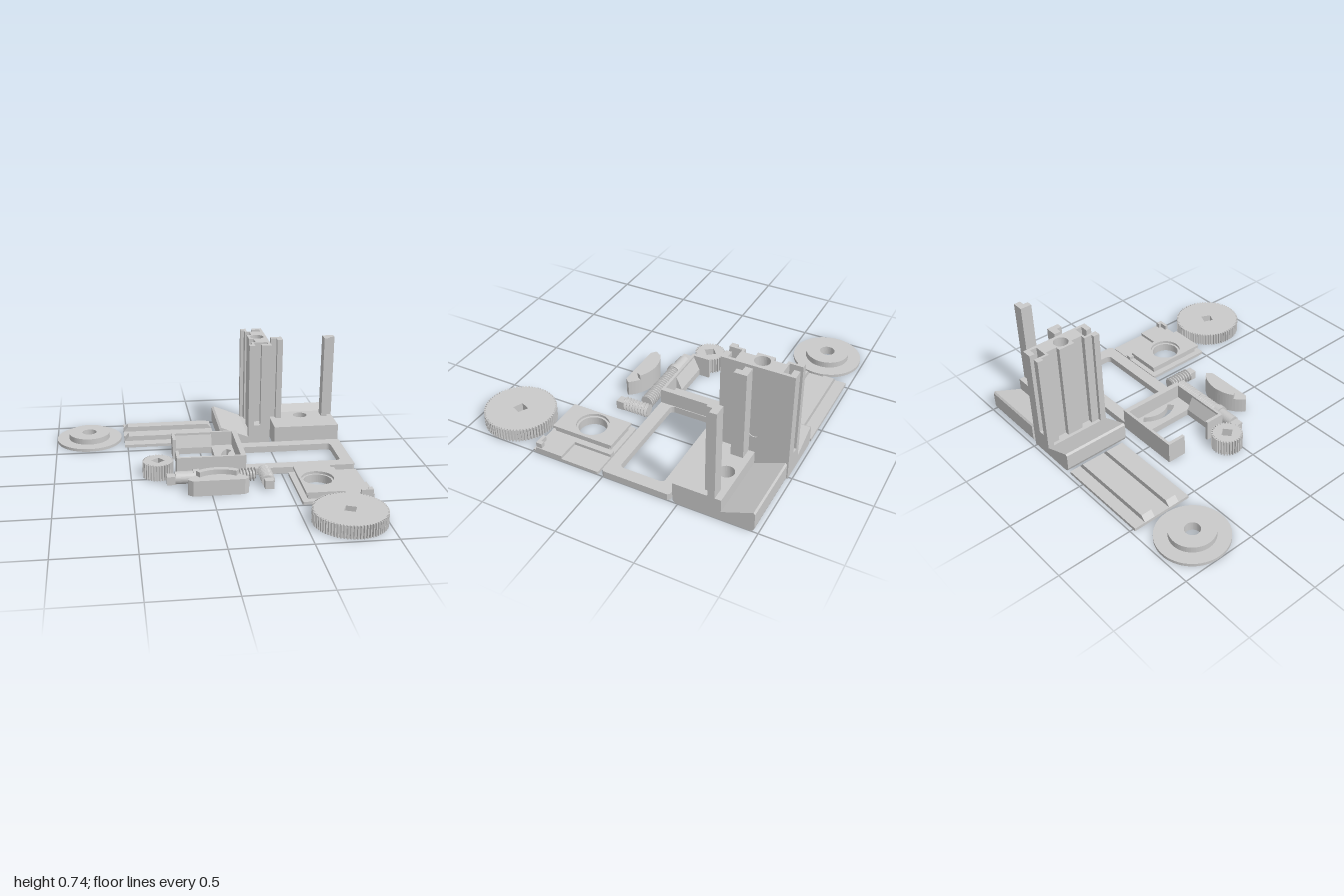
import * as THREE from 'three';

const grey = new THREE.MeshStandardMaterial({ color: 0xc9c9c9 });
grey.name = 'grey plastic';

// Outline helpers, all as lists of [x, z] points
const rect = (x0, x1, z0, z1) => [[x0, z0], [x1, z0], [x1, z1], [x0, z1]];
function arc(cx, cz, r, a0, a1, n = 20) {
  return Array.from({ length: n + 1 }, (_, i) => {
    const a = a0 + (a1 - a0) * i / n;
    return [cx + r * Math.cos(a), cz + r * Math.sin(a)];
  });
}
const circle = (cx, cz, r, n = 64) => arc(cx, cz, r, 0, Math.PI * 2, n).slice(0, n);
function roundRect(x0, x1, z0, z1, r) {
  const q = Math.PI / 2;
  return [
    ...arc(x1 - r, z1 - r, r, 0, q, 5), ...arc(x0 + r, z1 - r, r, q, 2 * q, 5),
    ...arc(x0 + r, z0 + r, r, 2 * q, 3 * q, 5), ...arc(x1 - r, z0 + r, r, 3 * q, 4 * q, 5),
  ];
}
const band = (cx, cz, r0, r1, a0, a1) => [...arc(cx, cz, r1, a0, a1), ...arc(cx, cz, r0, a1, a0)];

function add(group, name, geometry) {
  const mesh = new THREE.Mesh(geometry, grey);
  mesh.name = name;
  group.add(mesh);
  return mesh;
}
// Outer outlines run clockwise and holes counter-clockwise, so all walls face outward
function orient(pts, sx, sy, clockwise) {
  const v = pts.map(([a, b]) => new THREE.Vector2(a * sx, b * sy));
  return THREE.ShapeUtils.isClockWise(v) === clockwise ? v : v.reverse();
}
function extrude(pts, holes, depth, sx, sy) {
  const shape = new THREE.Shape(orient(pts, sx, sy, true));
  shape.holes = holes.map((h) => new THREE.Path(orient(h, sx, sy, false)));
  return new THREE.ExtrudeGeometry(shape, { depth, bevelEnabled: false });
}
// Plan outline raised from y0 to y1
function slab(group, name, pts, y0, y1, holes = []) {
  return add(group, name, extrude(pts, holes, y1 - y0, 1, -1).rotateX(-Math.PI / 2).translate(0, y0, 0));
}
// [z, y] outline swept along x
function sweepX(group, name, pts, x0, x1, holes = []) {
  return add(group, name, extrude(pts, holes, x1 - x0, -1, 1).rotateY(Math.PI / 2).translate(x0, 0, 0));
}
// [x, y] outline swept along z
function sweepZ(group, name, pts, z0, z1) {
  return add(group, name, extrude(pts, [], z1 - z0, 1, 1).translate(0, 0, z0));
}

function gear(group, cx, cz, r, h, teeth, socket, turn) {
  const pts = [];
  for (let i = 0; i < teeth; i++) {
    [[0, -0.012], [0.3, -0.012], [0.45, 0], [0.85, 0]].forEach(([f, d]) => {
      const a = (i + f) / teeth * Math.PI * 2;
      pts.push([cx + (r + d) * Math.cos(a), cz + (r + d) * Math.sin(a)]);
    });
  }
  const hole = [0, 1, 2, 3].map((i) => {
    const a = turn + i * Math.PI / 2;
    return [cx + socket * Math.cos(a), cz + socket * Math.sin(a)];
  });
  slab(group, 'gearFloor', pts, 0, 0.03);
  slab(group, 'gearBody', pts, 0.03, h, [hole]);
}

// Helical thread about the y axis, made by rippling a cylinder
function threadGeometry(length, turns, r0, r1) {
  const g = new THREE.CylinderGeometry(1, 1, length, 24, turns * 8);
  const p = g.attributes.position;
  for (let i = 0; i < p.count; i++) {
    const x = p.getX(i), z = p.getZ(i);
    if (Math.hypot(x, z) < 0.1) continue;
    let t = p.getY(i) / length * turns + Math.atan2(z, x) / (Math.PI * 2);
    t -= Math.floor(t);
    const r = r0 + (r1 - r0) * Math.min(1, Math.max(0, 1.5 - Math.abs(t - 0.5) * 4));
    p.setX(i, x * r);
    p.setZ(i, z * r);
  }
  return g;
}
// Trim a lying shaft flat where it rests on the ground
function restFlat(g) {
  const p = g.attributes.position;
  for (let i = 0; i < p.count; i++) p.setY(i, Math.max(0, p.getY(i)));
  const flat = g.toNonIndexed();
  flat.computeVertexNormals();
  return flat;
}

export function createModel() {
  const model = new THREE.Group();
  const part = (name) => {
    const g = new THREE.Group();
    g.name = name;
    g.position.z = 0.004;
    model.add(g);
    return g;
  };

  // Stepped washer
  const washer = part('steppedDisc');
  const bore = circle(-0.77, -0.755, 0.05, 32);
  slab(washer, 'discFlange', circle(-0.77, -0.755, 0.23), 0, 0.02, [bore]);
  slab(washer, 'discHub', circle(-0.77, -0.755, 0.145), 0.02, 0.06, [bore]);

  // Sliding plate with two ramp-ended rails
  const rails = part('railPlate');
  slab(rails, 'plate', rect(-0.52, 0.13, -0.98, -0.57), 0, 0.02);
  [-0.905, -0.72].forEach((z) => sweepZ(rails, 'rail',
    [[-0.52, 0.02], [0.13, 0.02], [0.098, 0.055], [-0.488, 0.055]], z, z + 0.073));

  // Tall column on a wedge foot, channelled on one side and slotted at both ends
  const tower = part('column');
  const zc = -0.753;
  sweepZ(tower, 'columnFoot', [[0.18, 0], [0.515, 0], [0.515, 0.06], [0.36, 0.06],
    [0.165, 0.138], [0.15, 0.13], [0.15, 0.03], [0.159, 0.009]], -0.98, -0.526);
  const channelHalf = [[0.415, 0.055], [0.415, 0.13], [0.383, 0.13], [0.383, 0.185], [0.36, 0.185], [0.36, 0.227]];
  const slotHalf = [[0.40, 0.227], [0.40, 0.145], [0.495, 0.145], [0.495, 0.19], [0.445, 0.19], [0.445, 0.227]];
  const outline = (slots) => {
    const half = [[0.383, 0.055], ...channelHalf, ...(slots ? slotHalf : []), [0.509, 0.227]];
    return [...half.map(([x, d]) => [x, zc + d]), ...half.reverse().map(([x, d]) => [x, zc - d])];
  };
  slab(tower, 'columnBase', outline(false), 0.06, 0.145);
  slab(tower, 'columnShaft', outline(true), 0.145, 0.735, [circle(0.447, zc, 0.048, 32)]);
  sweepX(tower, 'columnFace', rect(-0.98, -0.526, 0.06, 0.735), 0.509, 0.515, [circle(zc, 0.27, 0.037, 24)]);

  // Block with hooked guide posts and a ramped lip
  const block = part('guideBlock');
  slab(block, 'blockBody', rect(0.54, 1, -0.775, -0.5), 0, 0.145, [circle(0.77, -0.7, 0.05, 32)]);
  sweepX(block, 'blockFront', [[-0.5, 0], [-0.485, 0.004], [-0.474, 0.015], [-0.47, 0.03], [-0.47, 0.145], [-0.5, 0.145]], 0.54, 1);
  sweepX(block, 'rampLip', [[-0.775, 0], [-0.95, 0], [-0.965, 0.004], [-0.976, 0.015], [-0.98, 0.03],
    [-0.98, 0.128], [-0.97, 0.14], [-0.775, 0.06]], 0.54, 1);
  [-1, 1].forEach((s) => {
    const pts = [[0.23, -0.735], [0.15, -0.735], [0.15, -0.655], [0.19, -0.655], [0.19, -0.69], [0.23, -0.69]];
    slab(block, 'guidePost', pts.map(([x, z]) => [0.77 + s * x, z]), 0.145, 0.735);
  });

  // Long frame with a window and a walled tray open at its end
  const frame = part('trayFrame');
  const trayFloor = [[-0.2, -0.45], [0.985, -0.45], [1, -0.435], [1, -0.01], [0.985, 0.005], [-0.2, 0.005],
    [-0.2, -0.125], [-0.178, -0.125], [-0.178, -0.053], [0.08, -0.053], [0.08, -0.405], [-0.178, -0.405],
    [-0.178, -0.32], [-0.2, -0.32]];
  slab(frame, 'frameFloor', trayFloor, 0, 0.045, [
    roundRect(0.265, 0.92, -0.37, -0.075, 0.025),
    band(0.32, -0.222, 0.15, 0.195, Math.PI * 0.76, Math.PI * 1.24),
  ]);
  [
    ['backWall', -0.2, 0.26, -0.45, -0.432],
    ['frontWall', -0.2, 0.26, -0.013, 0.005],
    ['innerWall', 0.225, 0.26, -0.432, -0.013],
    ['endWall', -0.2, -0.178, -0.432, -0.32],
    ['endWall', -0.2, -0.178, -0.125, -0.013],
  ].forEach(([n, x0, x1, z0, z1]) => slab(frame, n, rect(x0, x1, z0, z1), 0.045, 0.145));
  sweepX(frame, 'wallFillet', [[-0.432, 0.045], [-0.405, 0.045], [-0.432, 0.13]], -0.178, 0.08);
  sweepX(frame, 'wallFillet', [[-0.013, 0.045], [-0.053, 0.045], [-0.013, 0.13]], -0.178, 0.08);

  // Gears with square sockets
  gear(part('smallGear'), -0.32, -0.065, 0.102, 0.107, 32, 0.045, 0.1);
  gear(part('largeGear'), 0.77, 0.743, 0.23, 0.085, 72, 0.048, 1.2);

  // Bearing plate with a large bore and stepped ledges
  const bearing = part('bearingPlate');
  const hub = circle(0.685, 0.257, 0.09, 48);
  slab(bearing, 'bearingBase', roundRect(0.54, 1, 0.03, 0.49, 0.01), 0, 0.02, [hub]);
  slab(bearing, 'bearingCore', rect(0.58, 0.81, 0.065, 0.45), 0.02, 0.055, [hub]);
  slab(bearing, 'bearingTop', rect(0.565, 0.81, 0.05, 0.47), 0.055, 0.072, [circle(0.685, 0.257, 0.104, 48)]);
  slab(bearing, 'sideLedge', [[0.81, 0.03], [0.85, 0.03], [0.85, 0.285], [1, 0.285], [1, 0.47], [0.81, 0.47]], 0.02, 0.04);
  slab(bearing, 'cornerHook', [[0.915, 0.45], [0.965, 0.45], [0.965, 0.43], [0.993, 0.43], [0.993, 0.47], [0.915, 0.47]], 0.04, 0.072);

  // Half-moon slider with a raised arc key
  const slider = part('halfMoonSlider');
  const pi = Math.PI;
  slab(slider, 'sliderBody', [...arc(0.043, 0.406, 0.246, 1.205 * pi, 1.795 * pi), [0.237, 0.268], [0.208, 0.292],
    [-0.122, 0.292], [-0.151, 0.268]], 0, 0.105);
  slab(slider, 'sliderKey', band(0.043, 0.406, 0.208, 0.246, 1.31 * pi, 1.69 * pi), 0.105, 0.138);

  // Long worm lying along x
  const longWorm = part('longWorm');
  const alongX = (name, g, x) => add(longWorm, name, restFlat(g.rotateZ(-pi / 2).translate(x, 0.043, 0.085)));
  alongX('wormThread', threadGeometry(0.37, 18, 0.03, 0.045), 0.122);
  alongX('wormCollar', new THREE.CylinderGeometry(0.052, 0.052, 0.04, 32), -0.083);
  alongX('wormShank', new THREE.CylinderGeometry(0.042, 0.042, 0.12, 32), -0.16);
  slab(longWorm, 'wormTip', rect(-0.275, -0.215, 0.055, 0.115), 0.005, 0.062);

  // Short worm lying along z
  const shortWorm = part('shortWorm');
  add(shortWorm, 'wormThread', restFlat(threadGeometry(0.17, 8, 0.03, 0.045).rotateX(pi / 2).translate(0.375, 0.043, 0.118)));
  slab(shortWorm, 'wormTip', rect(0.345, 0.405, 0.2, 0.253), 0.008, 0.065);

  return model;
}
